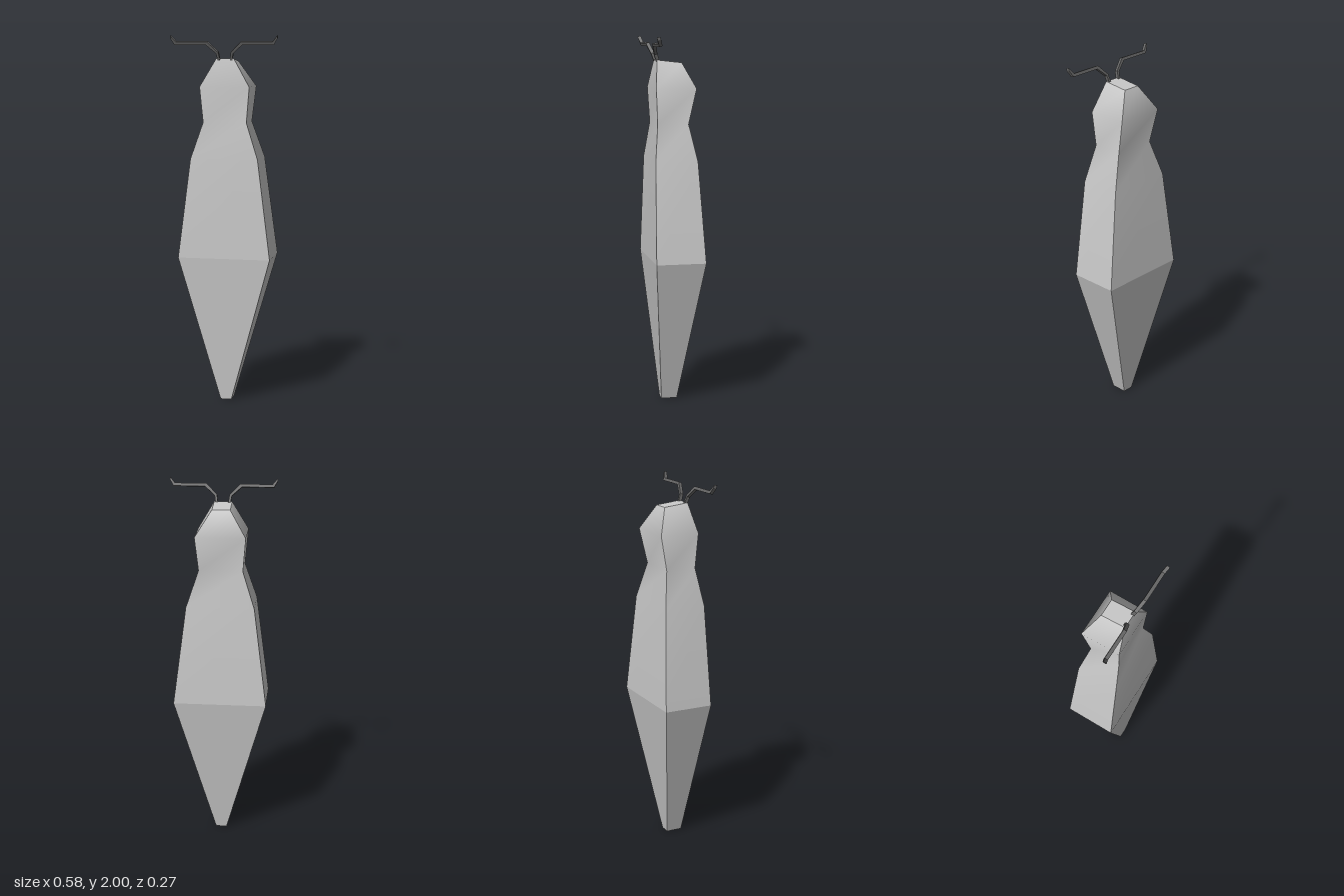
import * as THREE from 'three';

const bodyGrey = new THREE.MeshStandardMaterial({ color: 0xc8c8c8 });
bodyGrey.name = 'light grey';
const antennaGrey = new THREE.MeshStandardMaterial({ color: 0x666666 });
antennaGrey.name = 'dark grey';

// Rectangular cross-section: four corners, counter-clockwise seen from above
function ring(halfWidth, yFront, zFront, yBack, zBack) {
  return [
    [-halfWidth, yFront, zFront], [halfWidth, yFront, zFront],
    [halfWidth, yBack, zBack], [-halfWidth, yBack, zBack],
  ];
}

// Body rings from the tail up to the top of the head
const rings = [
  ring(0.03, 0, 0.065, 0, -0.022),
  ring(0.252, 0.8, 0.132, 0.8, -0.138),
  ring(0.183, 1.34, 0.123, 1.34, -0.106),
  ring(0.118, 1.535, 0.1, 1.535, -0.068),
  ring(0.135, 1.725, 0.11, 1.725, -0.108),
  ring(0.048, 1.875, 0.09, 1.86, -0.045),
];

// Each side is its own strip, smooth along its length with sharp corners
function skin(sections) {
  const position = [], index = [];
  for (let side = 0; side < 4; side++) {
    const start = position.length / 3;
    sections.forEach((s, i) => {
      position.push(...s[side], ...s[(side + 1) % 4]);
      if (i === 0) return;
      const a = start + (i - 1) * 2;
      index.push(a, a + 1, a + 3, a, a + 3, a + 2);
    });
  }
  return makeGeometry(position, index);
}

function makeGeometry(position, index) {
  const g = new THREE.BufferGeometry();
  g.setAttribute('position', new THREE.Float32BufferAttribute(position, 3));
  g.setIndex(index);
  g.computeVertexNormals();
  return g;
}

function addMesh(parent, name, geometry, material) {
  const mesh = new THREE.Mesh(geometry, material);
  mesh.name = name;
  parent.add(mesh);
  return mesh;
}

// Bent antenna outline, x outward and y above the head
const antennaOutline = [
  [0.027, 0], [0.04, 0], [0.046, 0.037], [0.098, 0.082], [0.268, 0.082],
  [0.288, 0.115], [0.288, 0.13], [0.26, 0.097], [0.09, 0.097], [0.034, 0.043],
];

function antennaGeometry(sign) {
  const tilt = 0.33, depth = 0.018;
  const points = antennaOutline.map(([x, y]) => new THREE.Vector2(sign * x, y / Math.cos(tilt)));
  const g = new THREE.ExtrudeGeometry(new THREE.Shape(points), { depth, bevelEnabled: false });
  return g.translate(0, 0, -depth / 2).rotateX(tilt).translate(0, 1.867, 0.083);
}

export function createModel() {
  const model = new THREE.Group();
  model.name = 'insect';

  // Body
  const body = new THREE.Group();
  body.name = 'body';
  model.add(body);
  addMesh(body, 'abdomen', skin(rings.slice(0, 2)), bodyGrey);
  addMesh(body, 'thoraxAndHead', skin(rings.slice(1)), bodyGrey);
  addMesh(body, 'headTop', makeGeometry(rings[5].flat(), [0, 1, 2, 0, 2, 3]), bodyGrey);
  addMesh(body, 'tailEnd', makeGeometry(rings[0].flat(), [0, 2, 1, 0, 3, 2]), bodyGrey);

  // Antennae
  addMesh(model, 'leftAntenna', antennaGeometry(1), antennaGrey);
  addMesh(model, 'rightAntenna', antennaGeometry(-1), antennaGrey);

  return model;
}
